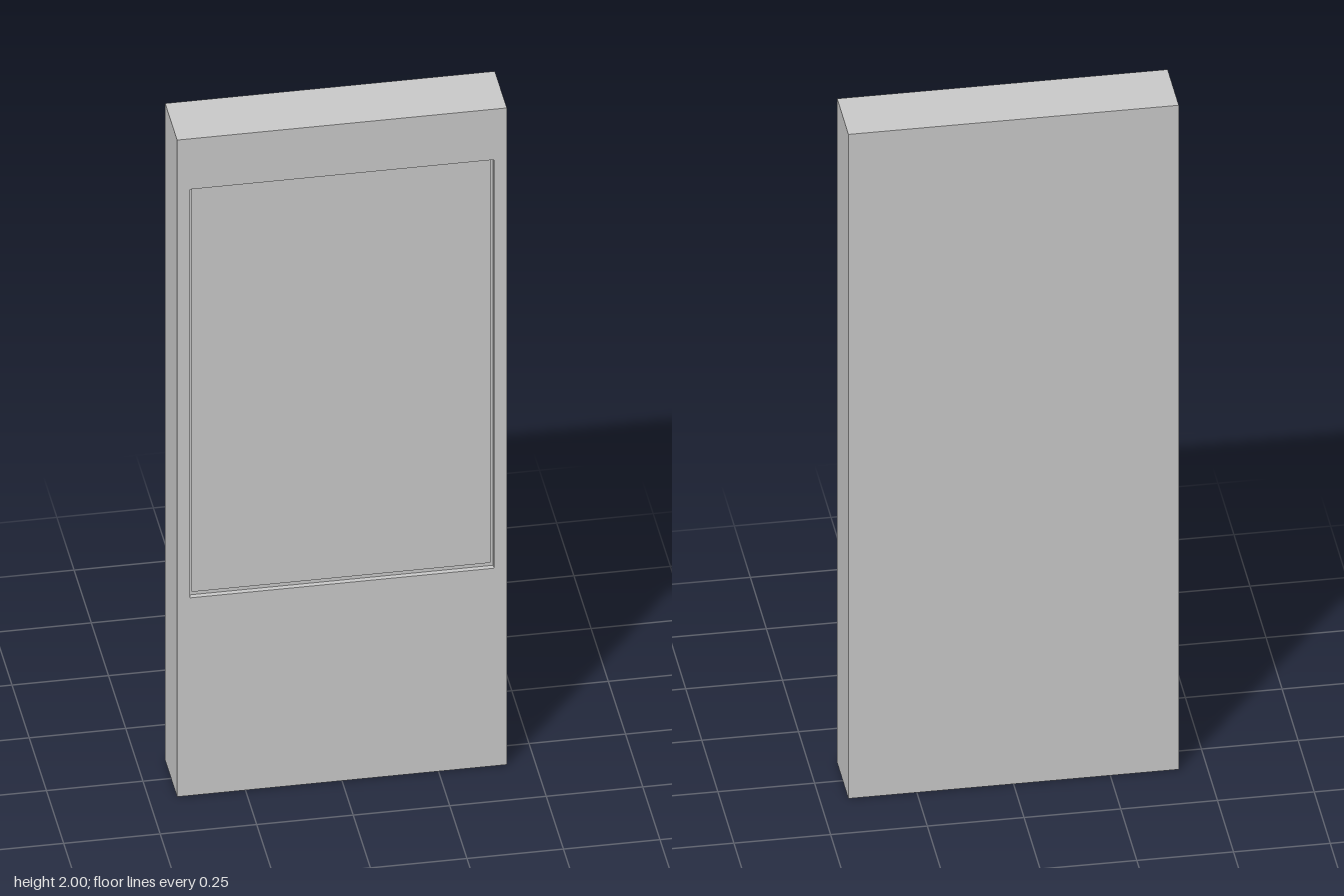
import * as THREE from 'three';

const W = 0.854, H = 2, D = 0.174;
const FRONT = D / 2, STEP = 0.014;
const OPENING = { w: 0.788, h: 1.244, y: 1.224 };
const INNER = { w: 0.772, h: 1.226, y: 1.225 };

const material = new THREE.MeshStandardMaterial({ color: 0xcccccc, side: THREE.DoubleSide });

function add(group, name, geometry, x = 0, y = 0, z = 0) {
  const mesh = new THREE.Mesh(geometry, material);
  mesh.name = name;
  mesh.position.set(x, y, z);
  group.add(mesh);
  return mesh;
}

function rectangle(Type, { w, h, y }) {
  return new Type([
    new THREE.Vector2(-w / 2, y - h / 2), new THREE.Vector2(w / 2, y - h / 2),
    new THREE.Vector2(w / 2, y + h / 2), new THREE.Vector2(-w / 2, y + h / 2),
  ]);
}

// Flat rectangular frame facing +z
function frame(outer, inner) {
  const shape = rectangle(THREE.Shape, outer);
  shape.holes.push(rectangle(THREE.Path, inner));
  return new THREE.ShapeGeometry(shape);
}

// Four thin walls around a rectangle, facing out (facing = 1) or in (-1)
function walls(name, { w, h, y }, depth, z, facing) {
  const group = new THREE.Group();
  group.name = name;
  for (const side of [-1, 1]) {
    const upright = add(group, side > 0 ? 'leftWall' : 'rightWall',
      new THREE.PlaneGeometry(depth, h), side * w / 2, y, z);
    upright.rotation.y = side * facing * Math.PI / 2;
    const level = add(group, side > 0 ? 'topWall' : 'bottomWall',
      new THREE.PlaneGeometry(w, depth), 0, y + side * h / 2, z);
    level.rotation.x = -side * facing * Math.PI / 2;
  }
  return group;
}

export function createModel() {
  const model = new THREE.Group();
  model.name = 'displayCabinet';
  const body = { w: W, h: H, y: H / 2 };

  // Hollow outer casing
  model.add(walls('casing', body, D, 0, 1));
  add(model, 'backPanel', new THREE.PlaneGeometry(W, H), 0, H / 2, -FRONT)
    .rotation.y = Math.PI;

  // Front panel with its window and the stepped rim just behind it
  add(model, 'frontPanel', frame(body, OPENING), 0, 0, FRONT);
  model.add(walls('rimWalls', OPENING, STEP, FRONT - STEP / 2, -1));
  add(model, 'rimLedge', frame(OPENING, INNER), 0, 0, FRONT - STEP);

  return model;
}
